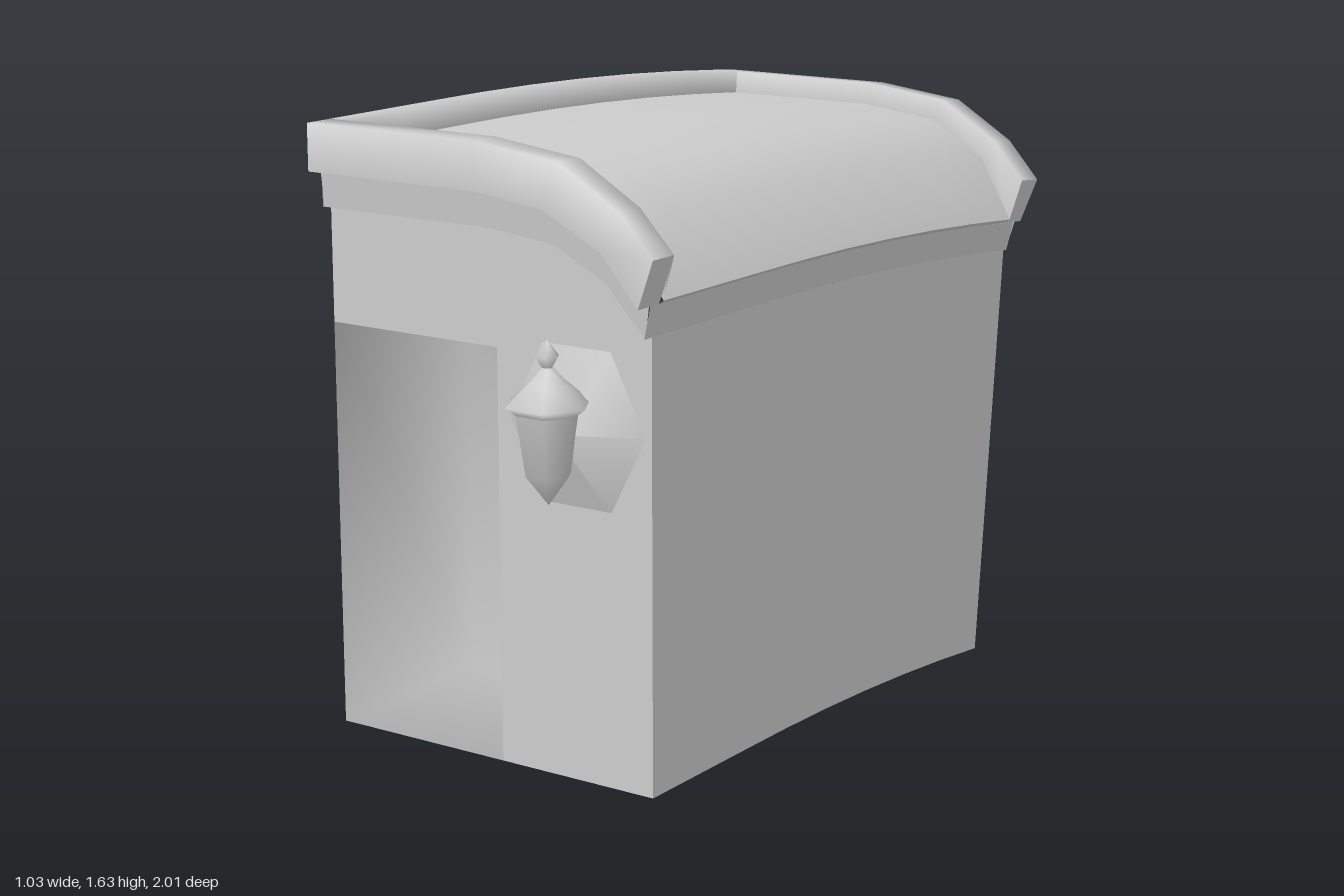
import * as THREE from 'three';
import { mergeVertices } from 'three/addons/utils/BufferGeometryUtils.js';

const LEFT = -0.515, RIGHT = 0.455, FLOOR = 0.065, FRONT = 0.79, BACK = -0.8;

// Arched outlines (x, y), from the flat cut side to the drooping eave
const BAND_LOW = [[LEFT, 1.415], [0, 1.415], [0.19, 1.395], [0.34, 1.32], [RIGHT, 1.2]];
const BAND_TOP = [[LEFT, 1.51], [0, 1.51], [0.2, 1.485], [0.37, 1.4], [0.472, 1.28]];
const RIM_TOP = [[LEFT, 1.63], [0, 1.63], [0.25, 1.6], [0.42, 1.5], [0.515, 1.4]];
const PANEL = [[-0.44, 1.57], [0, 1.57], [0.22, 1.545], [0.385, 1.45], [0.485, 1.29]];
const RIM_INNER = [[LEFT, 1.57], ...PANEL.slice(1)];

// The whole building sags and leans gently towards the rear
function bend(x, y, z) {
  const t = Math.max(0, 0.3 - z);
  return [x, y - 0.05 * t * t, z - 0.087 * t * y];
}

// Smooth sheet through rows of equally many points
function sheet(rows) {
  const n = rows[0].length, pos = [], idx = [];
  rows.forEach(r => r.forEach(p => pos.push(...bend(...p))));
  for (let i = 0; i < rows.length - 1; i++) {
    for (let j = 0; j < n - 1; j++) {
      const a = i * n + j, b = a + n;
      idx.push(a, b, a + 1, b, b + 1, a + 1);
    }
  }
  const g = new THREE.BufferGeometry();
  g.setAttribute('position', new THREE.Float32BufferAttribute(pos, 3));
  g.setIndex(idx);
  g.computeVertexNormals();
  return g;
}

const at = (outline, z) => outline.map(([x, y]) => [x, y, z]);

// Stations along the length, following the sag
function stations(z0, z1, n = 8) {
  return Array.from({ length: n + 1 }, (_, i) => z0 + (z1 - z0) * i / n);
}
const along = (outline, z0, z1) => sheet(stations(z0, z1).map(z => at(outline, z)));

export function createModel() {
  const model = new THREE.Group();
  model.name = 'kiosk';
  const grey = new THREE.MeshStandardMaterial({ color: 0xcccccc, side: THREE.DoubleSide });
  grey.name = 'plainGrey';
  const add = (name, geometry, parent = model) => {
    const m = new THREE.Mesh(geometry, grey);
    m.name = name;
    parent.add(m);
    return m;
  };

  // Front wall around the doorway
  const wall = new THREE.Shape();
  wall.moveTo(LEFT, 1.12);
  [[0, 1.12], [0, FLOOR], [RIGHT, FLOOR], ...[...BAND_LOW].reverse()].forEach(p => wall.lineTo(...p));
  wall.closePath();
  add('frontWall', new THREE.ShapeGeometry(wall)).position.z = FRONT;

  // Side wall
  add('sideWall', along([[RIGHT, FLOOR], [RIGHT, 1.2]], FRONT, BACK));

  // Doorway alcove: open-fronted box with softened shading
  const box = new THREE.BoxGeometry(0.515, 1.055, 0.52);
  box.setIndex(Array.from(box.index.array).filter((_, i) => i < 24 || i >= 30));
  box.deleteAttribute('normal');
  box.deleteAttribute('uv');
  const alcove = mergeVertices(box);
  alcove.computeVertexNormals();
  add('doorAlcove', alcove).position.set(LEFT / 2, FLOOR + 1.055 / 2, FRONT - 0.26);

  // Roof panel, sunk between the rims
  add('roofPanel', along(PANEL, 0.785, -0.77));

  // Rim and fascia band at each end: inner, outer, band top, band bottom, wall
  const ends = [
    ['front', 0.785, 0.87, 0.825, 0.815, FRONT],
    ['back', -0.77, -0.85, -0.82, -0.81, BACK],
  ];
  for (const [name, zIn, zOut, zTop, zLow, zWall] of ends) {
    const end = new THREE.Group();
    end.name = name + 'Eave';
    model.add(end);
    add('rim', sheet([at(RIM_INNER, zIn), at(RIM_TOP, zIn), at(RIM_TOP, zOut), at(BAND_TOP, zOut)]), end);
    add('rimSoffit', sheet([at(BAND_TOP, zOut), at(BAND_TOP, zTop)]), end);
    add('band', sheet([at(BAND_TOP, zTop), at(BAND_LOW, zLow)]), end);
    add('bandSoffit', sheet([at(BAND_LOW, zLow), at(BAND_LOW, zWall)]), end);
    add('rimEnd', sheet([zIn, zOut].map(z => at([RIM_TOP[4], BAND_TOP[4]], z))), end);
  }

  // Fascia along the eave side
  add('sideBand', along([BAND_TOP[4], BAND_LOW[4]], 0.82, -0.815));
  add('sideSoffit', along([PANEL[4], BAND_TOP[4]], 0.785, -0.77));

  // Raised lip and flat fascia along the cut side
  add('flatLip', along([[-0.44, 1.57], [-0.44, 1.63], [LEFT, 1.63]], 0.785, -0.77));
  add('flatRim', along([[LEFT, 1.63], [LEFT, 1.51]], 0.87, -0.85));
  add('flatBand', along([[LEFT, 1.51], [LEFT, 1.415]], 0.82, -0.815));

  // Wall lantern on a shallow six-sided backplate
  const lamp = new THREE.Group();
  lamp.name = 'wallLantern';
  lamp.position.set(0.238, 0, 0);
  model.add(lamp);
  const plate = new THREE.ConeGeometry(0.2, 0.09, 6, 1, true);
  plate.rotateY(Math.PI / 6);
  plate.rotateX(Math.PI / 2);
  const backplate = add('backplate', plate, lamp);
  backplate.position.set(0, 0.955, FRONT + 0.046);
  backplate.scale.y = 1.13;

  const lathe = (name, pts) => {
    const g = new THREE.LatheGeometry(pts.map(p => new THREE.Vector2(...p)), 6, Math.PI / 6);
    add(name, g, lamp).position.z = 0.905;
  };
  lathe('lanternBody', [[0, 0.79], [0.058, 0.865], [0.082, 1.02]]);
  lathe('lanternCap', [[0.075, 1.01], [0.108, 1.035], [0.045, 1.09], [0.012, 1.125]]);
  lathe('lanternFinial', [[0.012, 1.12], [0.03, 1.15], [0, 1.19]]);

  return model;
}
